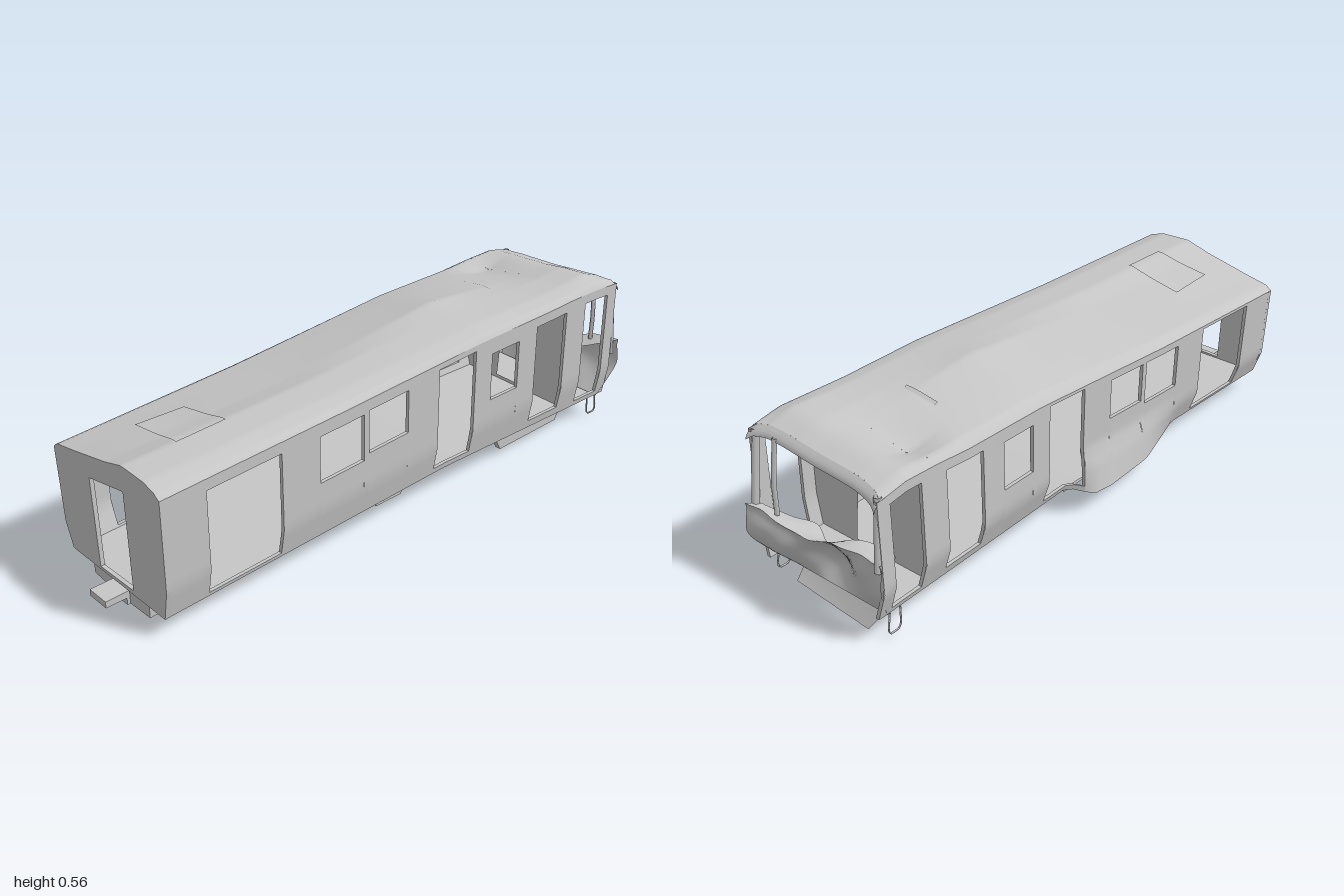
import * as THREE from 'three';
import { mergeGeometries } from 'three/addons/utils/BufferGeometryUtils.js';

const lerp = THREE.MathUtils.lerp;
// piecewise-linear lookup in a list of [key, value] with ascending keys
function look(table, k) {
  if (k <= table[0][0]) return table[0][1];
  for (let i = 1; i < table.length; i++) {
    const [a, p] = table[i - 1], [b, q] = table[i];
    if (k <= b) return lerp(p, q, (k - a) / (b - a));
  }
  return table[table.length - 1][1];
}

// roof heights across the body (columns) at stations along it (rows)
const ACROSS = [-1, -0.93, -0.6, 0.05, 0.35, 0.75, 0.95, 1];
const ROOF = [
  [-0.93, [0.48, 0.49, 0.50, 0.508, 0.515, 0.525, 0.525, 0.512]],
  [-0.84, [0.495, 0.515, 0.525, 0.538, 0.55, 0.558, 0.54, 0.518]],
  [-0.72, [0.49, 0.512, 0.488, 0.525, 0.54, 0.546, 0.535, 0.518]],
  [-0.60, [0.48, 0.505, 0.515, 0.535, 0.54, 0.541, 0.53, 0.514]],
  [-0.30, [0.475, 0.50, 0.523, 0.564, 0.553, 0.543, 0.53, 0.51]],
  [0.30, [0.43, 0.45, 0.466, 0.496, 0.515, 0.51, 0.497, 0.484]],
  [0.93, [0.40, 0.415, 0.432, 0.47, 0.494, 0.49, 0.475, 0.462]],
];
const roofY = (s, z) =>
  look(ACROSS.map((a, i) => [a, look(ROOF.map(([k, row]) => [k, row[i]]), z)]), s);
const bottomY = z => look([[-0.92, 0.09], [-0.15, 0.106], [0.93, 0.07]], z);

// wall surface: side is +1 or -1, v runs from sill (0) to roof edge (1);
// the right wall's skirt is bent out and down, sharply at its rear end
const BEND = [[-0.14, 0], [-0.08, 0.9], [0, 1], [0.2, 0.85], [0.42, 0]];
const bend = (side, z, v) => side > 0 ? 0 : look(BEND, z) * Math.max(0, 1 - v / 0.32);
function wallX(side, z, v) {
  if (side > 0) return 0.25 + 0.018 * Math.min(v / 0.25, 1);
  const t = (z + 0.93) / 1.86;
  const x = look([[0, lerp(-0.205, -0.21, t)], [0.25, lerp(-0.235, -0.24, t)], [1, lerp(-0.23, -0.255, t)]], v);
  return x - 0.067 * bend(side, z, v);
}
const wallY = (side, z, v) => lerp(bottomY(z), roofY(side, z), v) - 0.028 * bend(side, z, v);
const wallPoint = (side, z, v, inset = 0) => [wallX(side, z, v) - side * inset, wallY(side, z, v), z];

// indexed grid from a rule (u, v in 0..1) -> [x, y, z]
function sheet(rule, nu, nv) {
  const pos = [], idx = [];
  for (let j = 0; j <= nv; j++) for (let i = 0; i <= nu; i++) pos.push(...rule(i / nu, j / nv));
  for (let j = 0; j < nv; j++) for (let i = 0; i < nu; i++) {
    const a = j * (nu + 1) + i, b = a + 1, c = a + nu + 1, d = c + 1;
    idx.push(a, b, d, a, d, c);
  }
  const g = new THREE.BufferGeometry();
  g.setAttribute('position', new THREE.Float32BufferAttribute(pos, 3));
  g.setIndex(idx);
  g.computeVertexNormals();
  return g;
}
const shapeOf = points => new THREE.Shape(points.map(p => new THREE.Vector2(...p)));

// door and window openings: z from, z to, y from, y to, extra head height on the right wall
const OPENINGS = [
  [-0.90, -0.785, 0.11, 0.485, 0], [-0.69, -0.545, 0.125, 0.48, 0], [-0.46, -0.335, 0.29, 0.455, 0.02],
  [-0.26, -0.10, 0.125, 0.485, 0.02], [0.03, 0.19, 0.31, 0.455, 0.02], [0.21, 0.38, 0.285, 0.44, 0.04],
  [0.52, 0.78, 0.092, 0.435, 0.06],
];
const THICK = 0.012;

function sideWall(side) {
  const parts = [];
  const panel = (z0, z1, v0, v1) => {
    const nu = Math.max(1, Math.ceil((z1 - z0) / 0.03)), nv = Math.max(1, Math.ceil((v1 - v0) * 12));
    for (const inset of [0, THICK])
      parts.push(sheet((u, v) => {
        const w = side > 0 !== inset > 0 ? 1 - u : u; // outward winding
        return wallPoint(side, lerp(z0, z1, w), lerp(v0, v1, v), inset);
      }, nu, nv));
  };
  let last = -0.945;
  for (const [z0, z1, y0, y1, extra] of OPENINGS) {
    const zm = (z0 + z1) / 2, b = bottomY(zm), t = roofY(1, zm);
    const v0 = (y0 - b) / (t - b), v1 = (y1 - b) / (t - b) + (side < 0 ? extra : 0);
    panel(last, z0, 0, 1);
    panel(z0, z1, 0, v0);
    panel(z0, z1, v1, 1);
    // reveals round the opening
    for (const z of [z0, z1]) parts.push(sheet((u, v) => wallPoint(side, z, lerp(v0, v1, v), u * THICK), 1, 8));
    for (const w of [v0, v1]) parts.push(sheet((u, v) => wallPoint(side, lerp(z0, z1, v), w, u * THICK), 1, 6));
    last = z1;
  }
  panel(last, 0.93, 0, 1);
  parts.push(sheet((u, v) => wallPoint(side, -0.945, v, u * THICK), 1, 10));
  return mergeGeometries(parts);
}

const bodyX = (s, z, v) => lerp(wallX(-1, z, v), wallX(1, z, v), (s + 1) / 2);

// full cross-section of the body at z, with a doorway
function bulkheadShape(z, doorway) {
  const rim = [];
  for (let i = 0; i <= 8; i++) rim.push([wallX(-1, z, i / 8), wallY(-1, z, i / 8)]);
  for (let i = 1; i < 24; i++) { const s = -1 + i / 12; rim.push([bodyX(s, z, 1), roofY(s, z)]); }
  for (let i = 8; i >= 0; i--) rim.push([wallX(1, z, i / 8), wallY(1, z, i / 8)]);
  const shape = shapeOf(rim);
  shape.holes.push(shapeOf(doorway));
  return shape;
}

export function createModel() {
  const group = new THREE.Group();
  const grey = new THREE.MeshStandardMaterial({ color: 0xc6c6c6, side: THREE.DoubleSide });
  grey.name = 'bare grey';
  const add = (name, geometry) => {
    const m = new THREE.Mesh(geometry, grey);
    m.name = name;
    group.add(m);
    return m;
  };
  const box = (name, x0, x1, y0, y1, z0, z1) =>
    add(name, new THREE.BoxGeometry(x1 - x0, y1 - y0, z1 - z0))
      .position.set((x0 + x1) / 2, (y0 + y1) / 2, (z0 + z1) / 2);

  add('leftWall', sideWall(1));
  add('rightWall', sideWall(-1));

  // warped roof skin, with its rear lip drooping over the cab
  const roofEnd = s => -0.935 + 0.025 * (1 - s ** 6);
  add('roof', sheet((u, v) => {
    const s = lerp(-1, 1, u), z = lerp(0.93, roofEnd(s), v);
    return [bodyX(s, z, 1), roofY(s, z), z];
  }, 40, 62));
  add('cabHeader', sheet((u, v) => {
    const s = lerp(-1, 1, u), z = roofEnd(s);
    return [bodyX(s, z, 1), roofY(s, z) - 0.03 * v, z - 0.022 * Math.sin(v * Math.PI / 2)];
  }, 24, 4));

  // roof hatch, sprung open at its front right corner
  const onRoof = (x, z) => roofY((x - 0.0065) / 0.2615, z);
  add('roofHatch', sheet((u, v) => {
    const x = lerp(-0.09, 0.11, u), z = lerp(0.76, 0.59, v);
    return [x, onRoof(x, z) + 0.005 + 0.014 * (1 - v) * (1 - u), z];
  }, 12, 6));

  // torn crease in the roof
  add('roofCrease', sheet((u, v) => {
    const x = lerp(-0.06, 0.06, u), z = -0.55 + 0.012 * v;
    return [x, onRoof(x, z) + 0.005 * v, z];
  }, 6, 1));

  // front end wall and cab bulkhead, each with a doorway
  add('frontEndWall', new THREE.ExtrudeGeometry(
    bulkheadShape(0.93, [[-0.065, 0.08], [0.1, 0.085], [0.094, 0.41], [-0.076, 0.375]]),
    { depth: 0.014, bevelEnabled: false })).position.z = 0.917;
  add('cabBulkhead', new THREE.ShapeGeometry(
    bulkheadShape(-0.74, [[-0.062, 0.11], [0.092, 0.11], [0.072, 0.29], [0.072, 0.48], [-0.05, 0.46], [-0.05, 0.29]])))
    .position.z = -0.74;

  // floor and upright-sided underframe
  add('floor', sheet((u, v) => {
    const z = lerp(0.93, -0.9, v), s = lerp(-1, 1, u);
    return [lerp(lerp(-0.21, -0.205, v), 0.25, u), bottomY(z) + 0.004, z];
  }, 4, 40));
  const frameY = z => look([[-0.9, 0.04], [-0.2, 0.045], [0.93, 0.016]], z);
  const frameRing = z => [[-0.122, bottomY(z)], [-0.12, frameY(z) + 0.008], [-0.02, frameY(z) - 0.004],
    [0.06, frameY(z) - 0.004], [0.157, frameY(z)], [0.158, bottomY(z)]];
  for (let k = 0; k < 5; k++)
    add('underframe', sheet((u, v) => {
      const z = lerp(0.92, -0.88, v), r = frameRing(z);
      return [lerp(r[k][0], r[k + 1][0], u), lerp(r[k][1], r[k + 1][1], u), z];
    }, 1, 20));
  for (const z of [0.92, -0.88])
    add('underframeEnd', new THREE.ShapeGeometry(shapeOf(frameRing(z)))).position.z = z;

  // coupler and equipment hung under the floor
  box('coupler', -0.02, 0.06, 0.036, 0.058, 0.9, 1.0);
  box('couplerBase', -0.02, 0.06, 0.012, 0.036, 0.88, 0.93);
  for (const [x0, x1] of [[-0.125, -0.065], [0.1, 0.162]]) {
    box('equipmentBox', x0, x1, 0.01, 0.065, -0.05, 0.06);
    box('smallEquipmentBox', x0, x1, 0.028, 0.075, -0.41, -0.32);
  }
  const skirt = add('sideSkirt', new THREE.ExtrudeGeometry(
    shapeOf([[0.44, 0.085], [0.78, 0.085], [0.75, 0.03], [0.47, 0.025]]), { depth: 0.02, bevelEnabled: false }));
  skirt.rotation.y = Math.PI / 2;
  skirt.position.x = 0.185;

  // crushed cab nose: dented at the middle, pushed out hardest at the left corner
  const nose = (u, v) => {
    const s = lerp(-1, 1, u), z0 = -0.93;
    const sill = 0.287 - 0.042 * Math.exp(-(((s - 0.2) / 0.35) ** 2));
    const y = lerp(0.085, sill, v), push = Math.exp(-(((s + 0.05) / 0.45) ** 2));
    const bulge = Math.sin(Math.min(1, v * 1.1) * Math.PI * 0.75) * (0.036 + 0.034 * THREE.MathUtils.smoothstep(s, 0, 0.7));
    const fold = 0.007 * Math.sin(9 * s + 5 * v) * Math.sin(v * 7 + s * 4);
    const z = z0 + 0.02 * (1 - v) - bulge + push * 0.07 * Math.sin(Math.PI * v) + fold * v;
    return [bodyX(s, z0, v * 0.45), y, Math.max(z, -1)];
  };
  add('crushedNose', sheet(nose, 36, 14));
  // folded shelf torn back from the nose sill
  add('foldedSill', sheet((u, v) => {
    const [x, y, z] = nose(u, 1);
    return [x * (1 - 0.08 * v), y - 0.02 * v - 0.01 * Math.sin(u * 17) * v, z + (0.06 + 0.02 * Math.sin(u * 11)) * v];
  }, 30, 3));

  // bent rear corner posts and one windscreen post
  const post = (name, points, r) => add(name, new THREE.TubeGeometry(
    new THREE.CatmullRomCurve3(points.map(p => new THREE.Vector3(...p))), 12, r, 5));
  post('rightCornerPost', [[-0.222, 0.26, -0.95], [-0.22, 0.38, -0.94], [-0.217, 0.487, -0.93]], 0.012);
  post('leftCornerPost', [[0.255, 0.24, -0.965], [0.258, 0.38, -0.945], [0.255, 0.512, -0.93]], 0.012);
  post('windscreenPost', [[0.175, 0.27, -0.95], [0.18, 0.38, -0.945], [0.175, 0.51, -0.93]], 0.008);

  // slanted guard plate below the nose
  add('guardPlate', sheet((u, v) => [
    lerp(-0.18, 0.16, u) + (1 - v) * 0.05 * (1 - u), lerp(lerp(0.004, 0.03, u), 0.08, v), lerp(-0.92, -0.88, v),
  ], 1, 1));

  // open step loops under the cab doors
  for (const [x, y] of [[-0.205, 0.018], [0.25, 0.027]])
    post('stepLoop', [[x, 0.09, -0.905], [x, y + 0.004, -0.91], [x, y, -0.89], [x, y + 0.004, -0.87], [x, 0.09, -0.865]], 0.003);

  return group;
}
